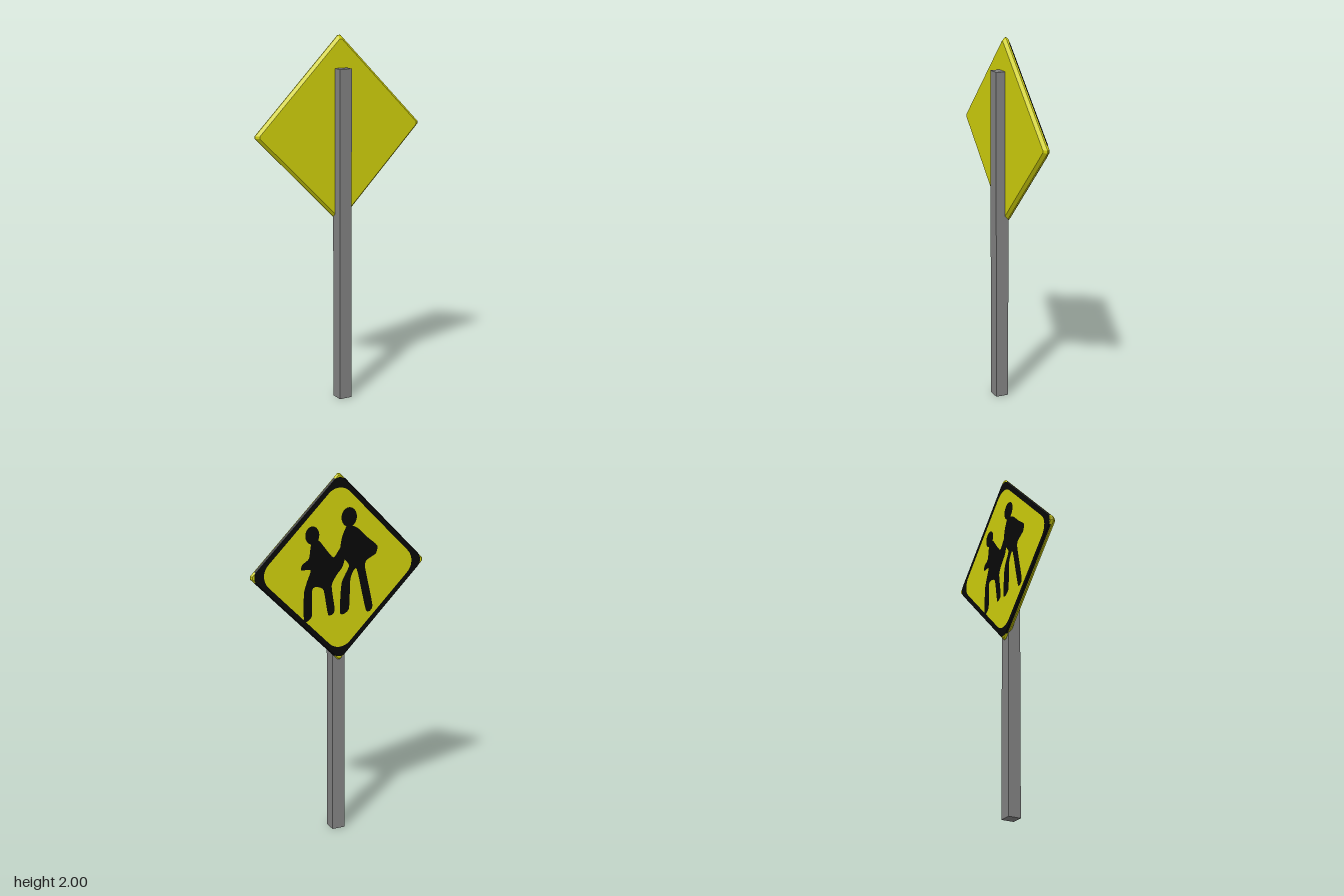
import * as THREE from 'three';

const yellow = new THREE.MeshStandardMaterial({ color: 0xcfcf0c });
yellow.name = 'sign yellow';
const black = new THREE.MeshStandardMaterial({ color: 0x080808 });
black.name = 'sign black';
const grey = new THREE.MeshStandardMaterial({ color: 0x828282 });
grey.name = 'post grey';

function addMesh(parent, name, geometry, material) {
  const mesh = new THREE.Mesh(geometry, material);
  mesh.name = name;
  parent.add(mesh);
  return mesh;
}

// Diamond outline: a = distance from centre to edge, r = corner radius, n = segments per corner
function diamond(a, r, n) {
  const points = [];
  for (let k = 0; k < 4; k++) {
    const dir = k * Math.PI / 2, d = (a - r) * Math.SQRT2;
    for (let i = 0; i <= n; i++) {
      const t = dir - Math.PI / 4 + (i / n) * Math.PI / 2;
      points.push(new THREE.Vector2(
        d * Math.cos(dir) + r * Math.cos(t), d * Math.sin(dir) + r * Math.sin(t)));
    }
  }
  return points;
}

// Flat-faced skin through outlines [points, z] with rising z, optionally closed at both ends
function loft(sections, capped) {
  const n = sections[0][0].length, last = (sections.length - 1) * n;
  const pos = sections.flatMap(([pts, z]) => pts.flatMap(p => [p.x, p.y, z]));
  const index = [];
  for (let s = 0; s < last; s += n) {
    for (let i = 0; i < n; i++) {
      const j = (i + 1) % n;
      index.push(s + i, s + j, s + n + j, s + i, s + n + j, s + n + i);
    }
  }
  if (capped) {
    for (let i = 1; i < n - 1; i++) index.push(0, i + 1, i, last, last + i, last + i + 1);
  }
  const g = new THREE.BufferGeometry();
  g.setAttribute('position', new THREE.Float32BufferAttribute(pos, 3));
  g.setIndex(index);
  const flat = g.toNonIndexed();
  flat.computeVertexNormals();
  return flat;
}

// Softly rounded flat silhouette
function silhouette(points) {
  const curve = new THREE.CatmullRomCurve3(
    points.map(([x, y]) => new THREE.Vector3(x, y, 0)), true, 'catmullrom', 0.3);
  const outline = curve.getPoints(points.length * 4).slice(0, -1);
  return new THREE.ShapeGeometry(new THREE.Shape(outline.map(p => new THREE.Vector2(p.x, p.y))));
}

export function createModel() {
  const model = new THREE.Group();
  model.name = 'crossingSign';

  // Square post
  const post = addMesh(model, 'post', new THREE.BoxGeometry(0.073, 1.83, 0.072), grey);
  post.position.set(0, 0.915, 0.006);

  // The sign's painted side looks towards -z
  const sign = new THREE.Group();
  sign.name = 'sign';
  sign.position.y = 1.5;
  sign.rotation.y = Math.PI;
  model.add(sign);

  // Board with chamfered rims and blunt corners
  addMesh(sign, 'board', loft([
    [diamond(0.346, 0.01, 1), 0.01],
    [diamond(0.36, 0.01, 1), 0.027],
    [diamond(0.36, 0.01, 1), 0.033],
    [diamond(0.354, 0.01, 1), 0.042],
  ], true), yellow);

  // Black border, on the face and wrapped over the chamfer
  const faceZ = 0.0428;
  addMesh(sign, 'borderRim', loft([
    [diamond(0.3608, 0.05, 6), 0.0335],
    [diamond(0.3548, 0.045, 6), faceZ],
  ], false), black);
  const border = new THREE.Shape(diamond(0.3548, 0.045, 6));
  border.holes.push(new THREE.Path(diamond(0.329, 0.085, 8).reverse()));
  addMesh(sign, 'border', new THREE.ShapeGeometry(border), black).position.z = faceZ;

  // Two walking figures
  const figures = new THREE.Group();
  figures.name = 'figures';
  figures.position.set(0.013, 0.014, faceZ);
  sign.add(figures);

  const heads = [['tallHead', 0.042, 0.257, 0.045, 0.052], ['shortHead', -0.17, 0.178, 0.04, 0.048]];
  for (const [name, x, y, rx, ry] of heads) {
    const head = addMesh(figures, name, new THREE.CircleGeometry(1, 20), black);
    head.position.set(x, y, 0);
    head.scale.set(rx, ry, 1);
  }

  addMesh(figures, 'tallBody', silhouette([
    [0.03, 0.215], [0.06, 0.21], [0.093, 0.194], [0.15, 0.14], [0.208, 0.09], [0.2, 0.047],
    [0.144, 0.015], [0.138, -0.03], [0.183, -0.238], [0.144, -0.26], [0.087, -0.024],
    [0.05, -0.075], [0.042, -0.24], [-0.01, -0.26], [-0.002, -0.094], [0.042, -0.006],
    [0.02, 0.03], [-0.01, 0.079], [0, 0.152],
  ]), black);

  addMesh(figures, 'shortBody', silhouette([
    [-0.175, 0.14], [-0.135, 0.15], [-0.1, 0.108], [-0.048, 0.05], [0, 0.11], [0.025, 0.07],
    [0.003, -0.006], [-0.03, -0.045], [-0.06, -0.103], [-0.042, -0.24], [-0.08, -0.26],
    [-0.106, -0.122], [-0.14, -0.1], [-0.172, -0.11], [-0.176, -0.256], [-0.22, -0.28],
    [-0.22, -0.126], [-0.2, -0.06], [-0.18, -0.005], [-0.235, 0.0], [-0.227, 0.03],
    [-0.19, 0.057],
  ]), black);

  return model;
}
